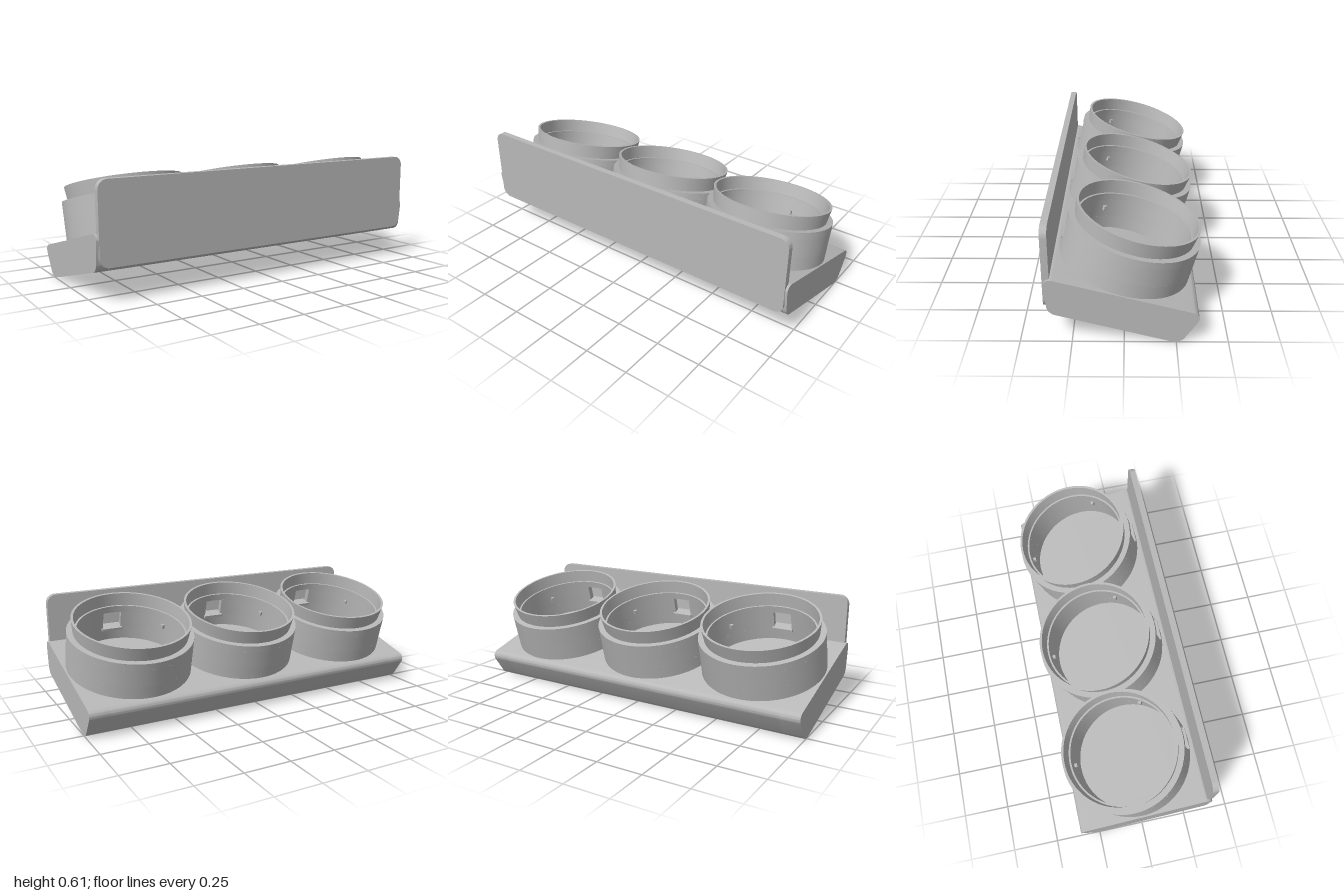
import * as THREE from 'three';
import { toCreasedNormals } from 'three/addons/utils/BufferGeometryUtils.js';

const grey = new THREE.MeshStandardMaterial({ color: 0xb8b8b8 });
grey.name = 'grey plastic';

const TILT = Math.PI / 12; // deck slopes up towards the front
const DECK = 0.25, CUP_W = 0.068, SPACING = 0.652;

function add(parent, name, geometry) {
  const mesh = new THREE.Mesh(geometry, grey);
  mesh.name = name;
  parent.add(mesh);
  return mesh;
}

// Closed outline of [x, y, rounding] corners
function roundedShape(corners) {
  const shape = new THREE.Shape();
  const n = corners.length;
  corners.forEach(([x, y, d = 0], i) => {
    const c = new THREE.Vector2(x, y);
    const toward = (j, k) => {
      const p = new THREE.Vector2(corners[j][0], corners[j][1]);
      return p.sub(c).normalize().multiplyScalar(k).add(c);
    };
    const prev = (i + n - 1) % n, next = (i + 1) % n;
    const a = toward(prev, d), b = toward(next, d);
    if (i === 0) shape.moveTo(a.x, a.y); else shape.lineTo(a.x, a.y);
    if (d > 0) {
      const h1 = toward(prev, d * 0.45), h2 = toward(next, d * 0.45);
      shape.bezierCurveTo(h1.x, h1.y, h2.x, h2.y, b.x, b.y);
    }
  });
  shape.closePath();
  return shape;
}

function extrude(shape, depth) {
  const geo = new THREE.ExtrudeGeometry(shape, { depth, bevelEnabled: false, curveSegments: 10 });
  return toCreasedNormals(geo, 0.5);
}

// Side profile of [z, y, rounding] corners swept from x0 to x1
function sweepX(profile, x0, x1) {
  const geo = extrude(roundedShape(profile.map(([z, y, d]) => [-z, y, d])), x1 - x0);
  geo.rotateY(Math.PI / 2);
  geo.translate(x0, 0, 0);
  return geo;
}

// Revolved closed section, with an optional gap facing the front
function revolve(section, gap = 0, segments = 64) {
  const pts = [...section, section[0]].map(([r, y]) => new THREE.Vector2(r, y));
  const geo = new THREE.LatheGeometry(pts, segments, gap, Math.PI * 2 - gap * 2);
  return toCreasedNormals(geo, 0.5);
}

const tube = (rIn, rOut, y0, y1, gap, segments) =>
  revolve([[rIn, y0], [rOut, y0], [rOut, y1], [rIn, y1]], gap, segments);

function makeCup() {
  const cup = new THREE.Group();
  const R = 0.339, r = 0.295, gap = 0.19, low = 0.32, high = 0.42;
  add(cup, 'cupLowerWall', tube(r, R, DECK - 0.005, low));
  add(cup, 'cupWindowWall', tube(r, R, low, high, gap));
  // upper wall, inner ledge and flared rim
  add(cup, 'cupRim', revolve([
    [r, high], [R, high], [R, 0.456], [0.307, 0.456], [0.318, 0.533],
    [0.305, 0.533], [0.298, 0.462], [0.288, 0.462], [0.288, 0.45], [r, 0.45],
  ]));
  // window jambs
  for (const s of [-1, 1]) {
    const pivot = new THREE.Group();
    pivot.rotation.y = s * gap;
    cup.add(pivot);
    add(pivot, 'windowJamb', new THREE.BoxGeometry(0.008, high - low, R - r - 0.002))
      .position.set(0, (low + high) / 2, (R + r) / 2);
  }
  add(cup, 'windowLedge', new THREE.BoxGeometry(0.12, 0.014, 0.068)).position.set(0, low, 0.309);
  // three locating pegs inside the wall
  for (let i = 0; i < 3; i++) {
    const a = Math.PI / 3 + i * Math.PI * 2 / 3;
    const peg = add(cup, 'locatingPeg', new THREE.BoxGeometry(0.018, 0.024, 0.024));
    peg.position.set(Math.sin(a) * 0.29, 0.375, Math.cos(a) * 0.29);
    peg.rotation.y = a;
  }
  return cup;
}

export function createModel() {
  const model = new THREE.Group();
  model.name = 'tripleCupHolder';

  // Base: solid ends joined by a section hollowed from below
  const outer = [
    [0.362, 0.167, 0.035], [0.383, 0.361, 0.05],
    [-0.377, 0.158, 0.05], [-0.268, -0.005, 0.04],
  ];
  const pocket = [[-0.222, 0.008], [-0.326, 0.156], [0.282, 0.319], [0.3256, 0.1567]];
  const base = new THREE.Group();
  base.name = 'base';
  model.add(base);
  add(base, 'baseEndLeft', sweepX(outer, 0.89, 1));
  add(base, 'baseEndRight', sweepX(outer, -1, -0.89));
  add(base, 'baseShell', sweepX([...outer, ...pocket], -0.89, 0.89));

  // Upright front panel
  const panel = add(model, 'frontPanel', extrude(roundedShape([
    [-0.987, 0.184, 0.05], [0.987, 0.184, 0.05], [0.987, 0.613, 0.05], [-0.987, 0.613, 0.05],
  ]), 0.034));
  panel.position.z = 0.348;

  // Everything square to the sloping deck
  const tilted = new THREE.Group();
  tilted.name = 'tiltedParts';
  tilted.rotation.x = -TILT;
  model.add(tilted);

  for (const i of [-1, 0, 1]) {
    const cup = makeCup();
    cup.name = 'cup';
    cup.position.set(i * SPACING, 0, CUP_W);
    tilted.add(cup);
  }

  // Hollow screw posts under the deck
  for (const sx of [-1, 1]) {
    for (const w of [-0.168, 0.295]) {
      add(tilted, 'longPost', tube(0.033, 0.063, 0.07, 0.24, 0, 32)).position.set(sx * 0.587, 0, w);
      add(tilted, 'shortPost', tube(0.03, 0.056, 0.135, 0.24, 0, 32)).position.set(sx * 0.338, 0, w);
    }
  }
  return model;
}
